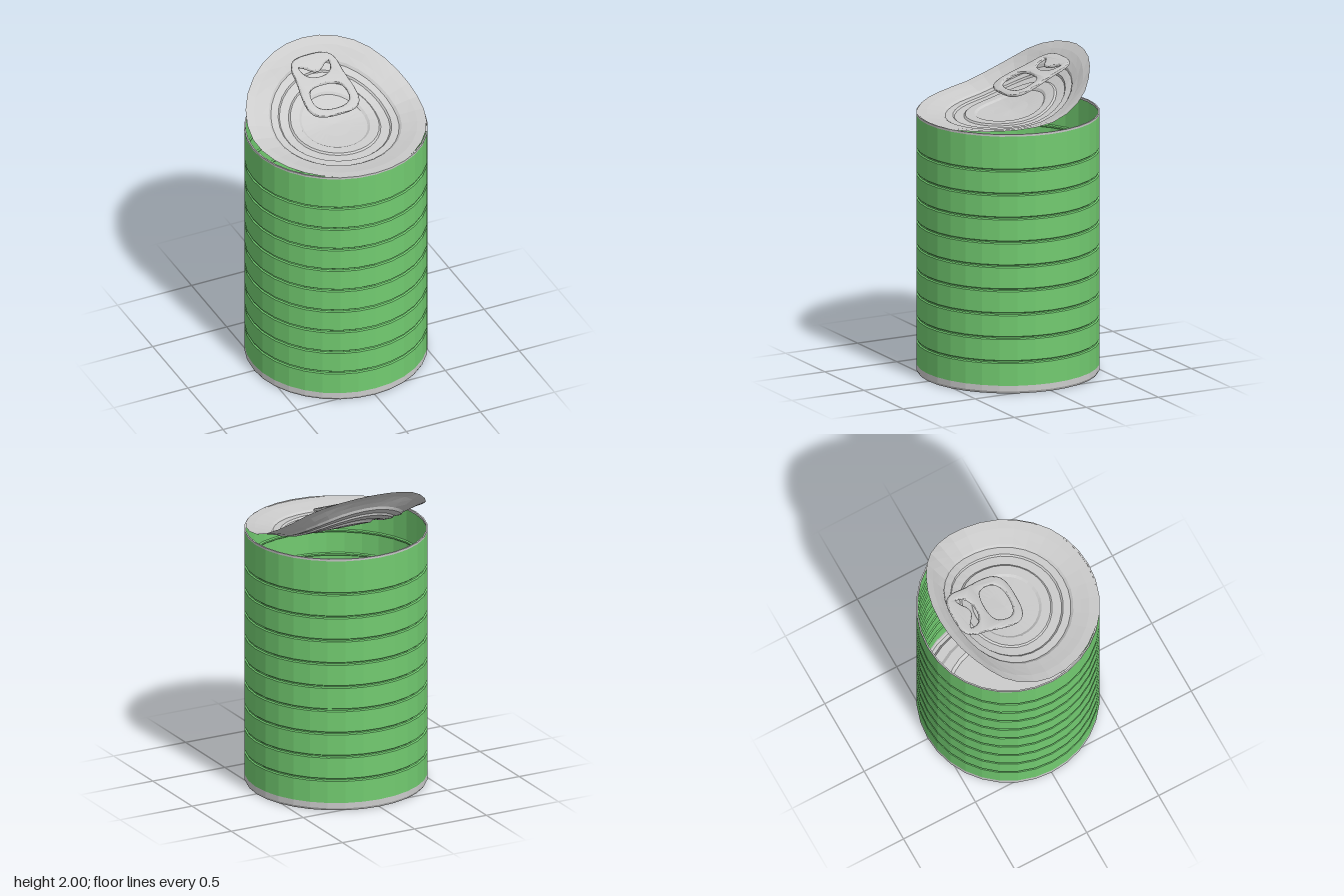
import * as THREE from 'three';
import { toCreasedNormals } from 'three/addons/utils/BufferGeometryUtils.js';

const SIDES = 32, R = 0.56;
const faceted = (color) => new THREE.MeshStandardMaterial({ color, flatShading: true, side: THREE.DoubleSide });
const metal = faceted(0xcccccc);
const green = faceted(0x72cb70);
const smoothMetal = new THREE.MeshStandardMaterial({ color: 0xcccccc });

const lathe = (points) => new THREE.LatheGeometry(points.map(([r, y]) => new THREE.Vector2(r, y)), SIDES);

function add(group, name, geometry, material) {
  const mesh = new THREE.Mesh(geometry, material);
  mesh.name = name;
  group.add(mesh);
  return mesh;
}

// Open wall with nine narrow pressed grooves
function wallGeometry() {
  const points = [[R, 0.05]];
  for (let i = 0; i < 9; i++) {
    const y = 0.2 + i * 0.151;
    points.push([R, y - 0.01], [R - 0.008, y - 0.004], [R - 0.008, y + 0.004], [R, y + 0.01]);
  }
  points.push([R, 1.625]);
  return lathe(points);
}

// Disc with pressed rings, curled upwards towards the back
function lidGeometry() {
  const radius = 0.555;
  const geometry = lathe([
    [radius, 0], [0.5, -0.008], [0.45, -0.02], [0.405, -0.03], [0.39, -0.042],
    [0.345, -0.042], [0.335, -0.052], [0.28, -0.052], [0.27, -0.042],
    [0.215, -0.042], [0.2, -0.052], [0.1, -0.052], [0, -0.052],
  ]);
  const curl = new THREE.CatmullRomCurve3([
    [0.555, 1.632], [0.4, 1.645], [0.2, 1.662], [0, 1.69], [-0.1, 1.725],
    [-0.19, 1.77], [-0.29, 1.84], [-0.38, 1.925], [-0.477, 2.0],
  ].map(([z, y]) => new THREE.Vector3(0, y, z)));
  const pos = geometry.attributes.position;
  for (let i = 0; i < pos.count; i++) {
    const u = THREE.MathUtils.clamp((radius - pos.getZ(i)) / (2 * radius), 0, 1);
    const p = curl.getPointAt(u), t = curl.getTangentAt(u), h = pos.getY(i);
    // Offset along the curve normal, which points up and forwards
    pos.setXYZ(i, pos.getX(i), p.y - t.z * h, p.z + t.y * h);
  }
  geometry.computeVertexNormals();
  return geometry;
}

// Pull tab: rounded plate with a finger hole and a notched crescent
function tabGeometry() {
  const b = 0.012;
  const outline = new THREE.Shape();
  outline.moveTo(0, -0.235 + b);
  outline.bezierCurveTo(0.1, -0.235 + b, 0.175 - b, -0.215, 0.175 - b, -0.11);
  outline.bezierCurveTo(0.175 - b, -0.02, 0.155 - b, 0.02, 0.155 - b, 0.13);
  outline.bezierCurveTo(0.145 - b, 0.21, 0.1, 0.235 - b, 0, 0.235 - b);
  outline.bezierCurveTo(-0.1, 0.235 - b, -0.145 + b, 0.21, -0.155 + b, 0.13);
  outline.bezierCurveTo(-0.155 + b, 0.02, -0.175 + b, -0.02, -0.175 + b, -0.11);
  outline.bezierCurveTo(-0.175 + b, -0.215, -0.1, -0.235 + b, 0, -0.235 + b);

  const finger = new THREE.Path();
  finger.moveTo(0, -0.185 - b);
  finger.bezierCurveTo(-0.09, -0.185 - b, -0.12 - b, -0.16, -0.12 - b, -0.1);
  finger.bezierCurveTo(-0.12 - b, -0.02, -0.1, 0.0 + b, 0, 0.0 + b);
  finger.bezierCurveTo(0.1, 0.0 + b, 0.12 + b, -0.02, 0.12 + b, -0.1);
  finger.bezierCurveTo(0.12 + b, -0.16, 0.09, -0.185 - b, 0, -0.185 - b);

  const crescent = new THREE.Path();
  crescent.moveTo(-0.1 - b, 0.17);
  crescent.bezierCurveTo(-0.05, 0.17, -0.04, 0.1 + b, 0, 0.1 + b);
  crescent.bezierCurveTo(0.04, 0.1 + b, 0.05, 0.17, 0.1 + b, 0.17);
  crescent.bezierCurveTo(0.12, 0.09, 0.07, 0.06 - b, 0, 0.06 - b);
  crescent.bezierCurveTo(-0.07, 0.06 - b, -0.12, 0.09, -0.1 - b, 0.17);

  outline.holes.push(finger, crescent);
  const geometry = new THREE.ExtrudeGeometry(outline, {
    depth: 0.002, bevelThickness: 0.009, bevelSize: b, bevelSegments: 4, curveSegments: 10,
  });
  geometry.translate(0, 0, -0.001);
  return toCreasedNormals(geometry, 1.2);
}

export function createModel() {
  const can = new THREE.Group();
  can.name = 'openTinCan';

  add(can, 'wall', wallGeometry(), green);
  // Base with a standing rim and a recessed ringed floor
  add(can, 'base', lathe([
    [0, 0.02], [0.36, 0.02], [0.38, 0.035], [0.44, 0.035], [0.46, 0.022],
    [0.515, 0.022], [0.53, 0], [0.552, 0], [R, 0.015], [R, 0.05],
  ]), metal);
  add(can, 'topRim', lathe([
    [R - 0.008, 1.622], [R, 1.622], [R + 0.001, 1.636], [R - 0.008, 1.636], [R - 0.008, 1.622],
  ]), metal);
  add(can, 'lid', lidGeometry(), metal);

  // Tab leans back and rests its rear end on the curled lid
  const tab = add(can, 'pullTab', tabGeometry(), smoothMetal);
  tab.position.set(-0.003, 1.842, -0.168);
  tab.rotation.x = -Math.PI / 2 + 0.383;

  return can;
}
